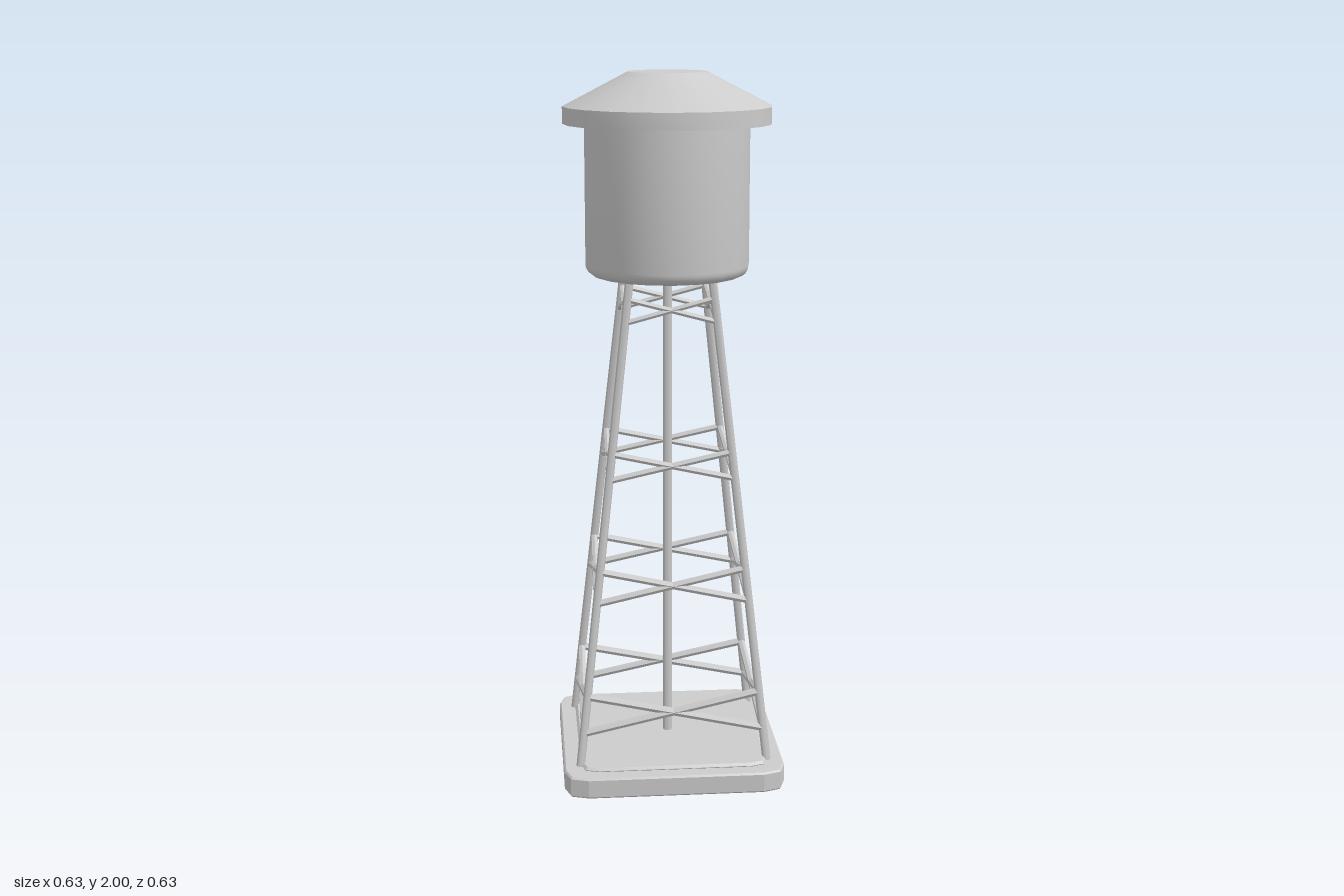
import * as THREE from 'three';
import { toCreasedNormals } from 'three/addons/utils/BufferGeometryUtils.js';

const material = new THREE.MeshStandardMaterial({ color: 0xcccccc });
const UP = new THREE.Vector3(0, 1, 0);

function addMesh(parent, geometry, name) {
  const mesh = new THREE.Mesh(geometry, material);
  mesh.name = name;
  parent.add(mesh);
  return mesh;
}

// Straight member between two points
function addBar(parent, a, b, radius, sides, name) {
  const dir = b.clone().sub(a);
  const geometry = new THREE.CylinderGeometry(radius, radius, dir.length(), sides);
  const bar = addMesh(parent, toCreasedNormals(geometry, 0.9), name);
  bar.position.copy(a).add(b).multiplyScalar(0.5);
  bar.quaternion.setFromUnitVectors(UP, dir.normalize());
  return bar;
}

// Flat slab with clipped corners and a fine bevelled edge
function addSlab(parent, halfX, halfZ, cut, y0, y1, bevel, name) {
  const hx = halfX - bevel, hz = halfZ - bevel;
  const points = [];
  for (const [sx, sz] of [[1, 1], [-1, 1], [-1, -1], [1, -1]]) {
    const corner = [[hx, hz - cut], [hx - cut * 0.25, hz - cut * 0.25], [hx - cut, hz]];
    if (sx * sz < 0) corner.reverse();
    for (const [x, z] of corner) points.push(new THREE.Vector2(sx * x, sz * z));
  }
  const geometry = new THREE.ExtrudeGeometry(new THREE.Shape(points), {
    depth: y1 - y0 - 2 * bevel, bevelEnabled: true,
    bevelThickness: bevel, bevelSize: bevel, bevelSegments: 1,
  });
  geometry.rotateX(-Math.PI / 2).translate(0, y0 + bevel, 0);
  addMesh(parent, toCreasedNormals(geometry, 0.3), name);
}

function addLathe(parent, profile, name) {
  const points = profile.map(([r, y]) => new THREE.Vector2(r, y));
  addMesh(parent, toCreasedNormals(new THREE.LatheGeometry(points, 20), 0.42), name);
}

// Centre of a leg at height y, in the corner (sx, sz)
function legPoint(sx, sz, y) {
  const t = (y - 0.06) / 1.38;
  return new THREE.Vector3(sx * (0.268 - 0.153 * t), y, sz * (0.217 - 0.102 * t));
}

export function createModel() {
  const model = new THREE.Group();
  model.name = 'waterTower';

  // Footing
  addSlab(model, 0.315, 0.315, 0.062, 0, 0.06, 0.005, 'base');
  addSlab(model, 0.268, 0.27, 0.045, 0.055, 0.07, 0.007, 'basePlate');

  // Four leaning legs
  const corners = [[1, 1], [-1, 1], [-1, -1], [1, -1]];
  const legs = new THREE.Group();
  legs.name = 'legs';
  model.add(legs);
  for (const [sx, sz] of corners) {
    addBar(legs, legPoint(sx, sz, 0.055), legPoint(sx, sz, 1.46), 0.012, 8, 'leg');
  }

  // Crossed braces on every side, four tiers
  const braces = new THREE.Group();
  braces.name = 'braces';
  model.add(braces);
  for (const [low, high, radius] of [
    [0.155, 0.263, 0.011], [0.533, 0.625, 0.01], [0.885, 0.96, 0.009], [1.325, 1.39, 0.008],
  ]) {
    corners.forEach((c, i) => {
      const d = corners[(i + 1) % 4];
      addBar(braces, legPoint(...c, low), legPoint(...d, high), radius, 6, 'brace');
      addBar(braces, legPoint(...c, high), legPoint(...d, low), radius, 6, 'brace');
    });
  }

  // Central riser pipe
  addBar(model, new THREE.Vector3(0, 0.06, 0), new THREE.Vector3(0, 1.46, 0), 0.013, 12, 'riserPipe');

  // Tank with a rounded lower edge
  const tank = [[0, 1.44]];
  for (let i = 0; i <= 6; i++) {
    const a = (i / 6) * Math.PI / 2;
    tank.push([0.198 + 0.032 * Math.sin(a), 1.472 - 0.032 * Math.cos(a)]);
  }
  tank.push([0.23, 1.87]);
  addLathe(model, tank, 'tank');

  // Overhanging roof with a flat cap
  addLathe(model, [[0, 1.86], [0.29, 1.86], [0.29, 1.907], [0.11, 2], [0, 2]], 'roof');

  return model;
}
